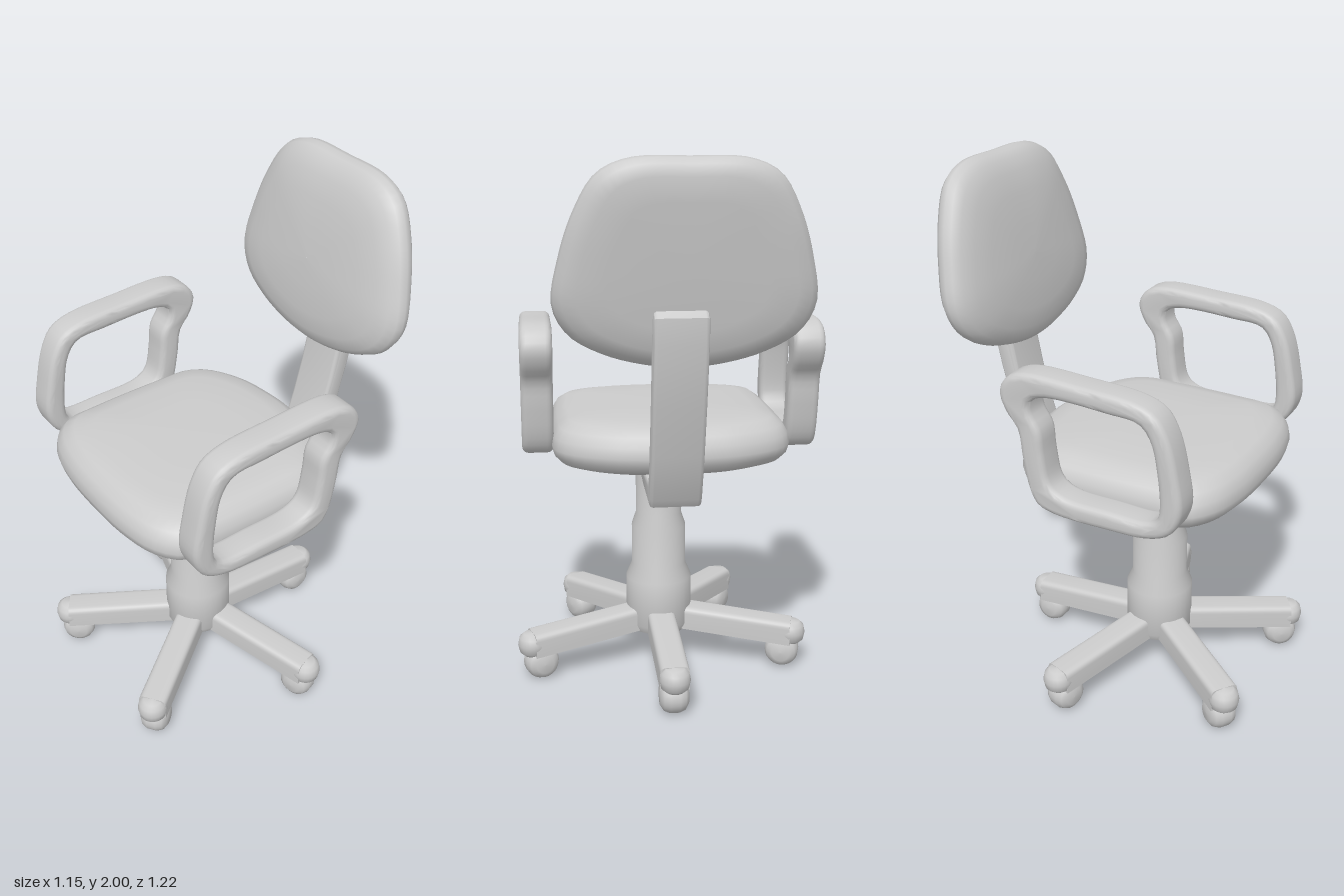
import * as THREE from 'three';
import { toCreasedNormals } from 'three/addons/utils/BufferGeometryUtils.js';

const material = new THREE.MeshStandardMaterial({ color: 0xcccccc, roughness: 0.8 });
const TOP_X = -0.025; // seat, back and arms sit slightly off the column axis
const BASE_Z = 0.106; // column and star base axis

function mesh(name, geometry, parent) {
  const m = new THREE.Mesh(geometry, material);
  m.name = name;
  parent.add(m);
  return m;
}

// Smooth closed outline through a few points
function outline(points, n) {
  const curve = new THREE.CatmullRomCurve3(points.map(([x, y]) => new THREE.Vector3(x, y, 0)), true, 'centripetal');
  return curve.getSpacedPoints(n).slice(0, n);
}

// Mirror a half outline (x >= 0, first and last points on the axis)
const mirrored = (half) => [...half, ...half.slice(1, -1).reverse().map(([x, y]) => [-x, y])];

// Cushion: outline in XY scaled around (0, cy) by rings of [scale, height along z]
function cushion(half, cy, rings) {
  const n = 72;
  const pts = outline(mirrored(half), n);
  const pos = [], idx = [];
  for (const [s, h] of rings) for (const p of pts) pos.push(p.x * s, cy + (p.y - cy) * s, h);
  for (let r = 0; r < rings.length - 1; r++) {
    for (let i = 0; i < n; i++) {
      const a = r * n + i, b = r * n + (i + 1) % n;
      idx.push(a, b, b + n, a, b + n, a + n);
    }
  }
  const g = new THREE.BufferGeometry();
  g.setAttribute('position', new THREE.Float32BufferAttribute(pos, 3));
  g.setIndex(idx);
  g.computeVertexNormals();
  return g;
}

// Extrude a (z, y) side profile across x, centred on x = 0
function sideExtrude(shape, width, bevel) {
  const g = new THREE.ExtrudeGeometry(shape, {
    depth: width - 2 * bevel, bevelThickness: bevel, bevelSize: bevel, bevelOffset: -bevel, bevelSegments: 4, curveSegments: 8,
  });
  g.translate(0, 0, bevel - width / 2);
  g.rotateY(-Math.PI / 2); // shape x becomes +z
  return toCreasedNormals(g, 0.7);
}

export function createModel() {
  const chair = new THREE.Group();
  chair.name = 'officeChair';

  // Seat: outline in x and -z, laid flat
  const seatGeo = cushion(
    [[0, -0.545], [0.2, -0.535], [0.34, -0.5], [0.425, -0.43], [0.44, -0.3], [0.445, 0], [0.435, 0.17],
      [0.38, 0.25], [0.24, 0.325], [0.1, 0.352], [0, 0.36]], -0.09,
    [[0.001, 0.865], [0.6, 0.866], [0.82, 0.872], [0.93, 0.892], [0.985, 0.92], [1, 0.95], [0.985, 0.988],
      [0.94, 1.022], [0.86, 1.047], [0.72, 1.062], [0.4, 1.069], [0.001, 1.07]]);
  seatGeo.rotateX(-Math.PI / 2);
  mesh('seat', seatGeo, chair).position.x = TOP_X;

  // Backrest: puffed pad, sheared backwards as it rises
  const backGeo = cushion(
    [[0, 1.3], [0.12, 1.31], [0.27, 1.35], [0.39, 1.42], [0.443, 1.52], [0.42, 1.68], [0.37, 1.83],
      [0.3, 1.945], [0.2, 1.993], [0, 2.0]], 1.64,
    [[0.001, -0.075], [0.6, -0.075], [0.82, -0.068], [0.93, -0.05], [0.985, -0.025], [1, 0], [0.98, 0.025],
      [0.92, 0.048], [0.8, 0.068], [0.6, 0.082], [0.3, 0.09], [0.001, 0.092]]);
  const bp = backGeo.attributes.position;
  for (let i = 0; i < bp.count; i++) bp.setZ(i, bp.getZ(i) - 0.505 - 0.17 * (bp.getY(i) - 1.64));
  backGeo.computeVertexNormals();
  mesh('backrest', backGeo, chair).position.x = TOP_X;

  // Bent bar joining seat and backrest
  const bar = new THREE.Shape([[-0.05, 0.885], [-0.09, 0.835], [-0.2, 0.815], [-0.43, 0.8], [-0.45, 0.83], [-0.505, 1.0],
    [-0.55, 1.18], [-0.597, 1.4], [-0.598, 1.49], [-0.57, 1.51], [-0.53, 1.48], [-0.5, 1.3], [-0.47, 1.15],
    [-0.435, 1.01], [-0.395, 0.88], [-0.25, 0.88]].map(([z, y]) => new THREE.Vector2(z, y)));
  mesh('backBar', sideExtrude(bar, 0.185, 0.014), chair);

  // Looped armrests
  const arm = new THREE.Shape(outline([[0.47, 1.03], [0.455, 1.16], [0.42, 1.29], [0.375, 1.36], [0.3, 1.392], [0.1, 1.407],
    [-0.13, 1.41], [-0.19, 1.385], [-0.222, 1.33], [-0.2, 1.26], [-0.155, 1.2], [-0.14, 1.1], [-0.115, 0.98],
    [-0.085, 0.925], [-0.02, 0.902], [0.2, 0.898], [0.35, 0.908], [0.43, 0.945]], 72));
  arm.holes.push(new THREE.Path(outline([[0.39, 1.03], [0.38, 1.16], [0.355, 1.27], [0.315, 1.32], [0.2, 1.332], [-0.05, 1.335],
    [-0.1, 1.31], [-0.1, 1.27], [-0.065, 1.21], [-0.055, 1.12], [-0.03, 1.01], [0.02, 0.978], [0.2, 0.97],
    [0.34, 0.97], [0.38, 0.99]], 60)));
  const armGeo = sideExtrude(arm, 0.118, 0.024);
  for (const side of [1, -1]) {
    mesh(side > 0 ? 'leftArmrest' : 'rightArmrest', armGeo, chair).position.x = TOP_X + side * 0.496;
  }

  // Stepped column with hub
  const base = new THREE.Group();
  base.name = 'base';
  base.position.z = BASE_Z;
  chair.add(base);
  const profile = [[0, 0.13], [0.115, 0.13], [0.13, 0.16], [0.13, 0.345], [0.107, 0.4], [0.107, 0.56], [0.09, 0.61], [0.09, 0.88]];
  const column = new THREE.LatheGeometry(profile.map(([r, y]) => new THREE.Vector2(r, y)), 32);
  mesh('column', toCreasedNormals(column, 0.6), base);

  // Leg: inverted channel, sloping down towards its end
  const w = 0.055;
  const channel = new THREE.Shape();
  channel.moveTo(-w, -0.09);
  channel.lineTo(-w, -0.025);
  channel.quadraticCurveTo(-w, 0, -w + 0.025, 0);
  channel.lineTo(w - 0.025, 0);
  channel.quadraticCurveTo(w, 0, w, -0.025);
  channel.lineTo(w, -0.09);
  channel.lineTo(w - 0.025, -0.09);
  channel.lineTo(w - 0.025, -0.05);
  channel.lineTo(-w + 0.025, -0.05);
  channel.lineTo(-w + 0.025, -0.09);
  const legGeo = new THREE.ExtrudeGeometry(channel, { depth: 0.46, bevelEnabled: false, curveSegments: 5 });
  legGeo.translate(0, 0, 0.08);
  const lp = legGeo.attributes.position;
  for (let i = 0; i < lp.count; i++) lp.setY(i, lp.getY(i) + 0.236 - 0.085 * lp.getZ(i));
  const legSmooth = toCreasedNormals(legGeo, 0.7);

  // Rounded leg end and caster wheel
  const endGeo = new THREE.LatheGeometry([[0, -0.047], [0.035, -0.045], [0.052, -0.03], [0.058, 0], [0.052, 0.028], [0.035, 0.043],
    [0, 0.047]].map(([r, y]) => new THREE.Vector2(r, y)), 24);
  const wheelGeo = new THREE.LatheGeometry([[0, -0.055], [0.035, -0.053], [0.056, -0.04], [0.066, -0.018], [0.066, 0.018],
    [0.056, 0.04], [0.035, 0.053], [0, 0.055]].map(([r, y]) => new THREE.Vector2(r, y)), 24);
  wheelGeo.rotateZ(Math.PI / 2);

  for (let i = 0; i < 5; i++) {
    const leg = new THREE.Group();
    leg.name = 'leg' + (i + 1);
    leg.rotation.y = (36 + 72 * i) * Math.PI / 180;
    base.add(leg);
    mesh('legBeam', legSmooth, leg);
    mesh('legEnd', endGeo, leg).position.set(0, 0.143, 0.537);
    mesh('caster', wheelGeo, leg).position.set(0, 0.066, 0.505);
  }
  return chair;
}
